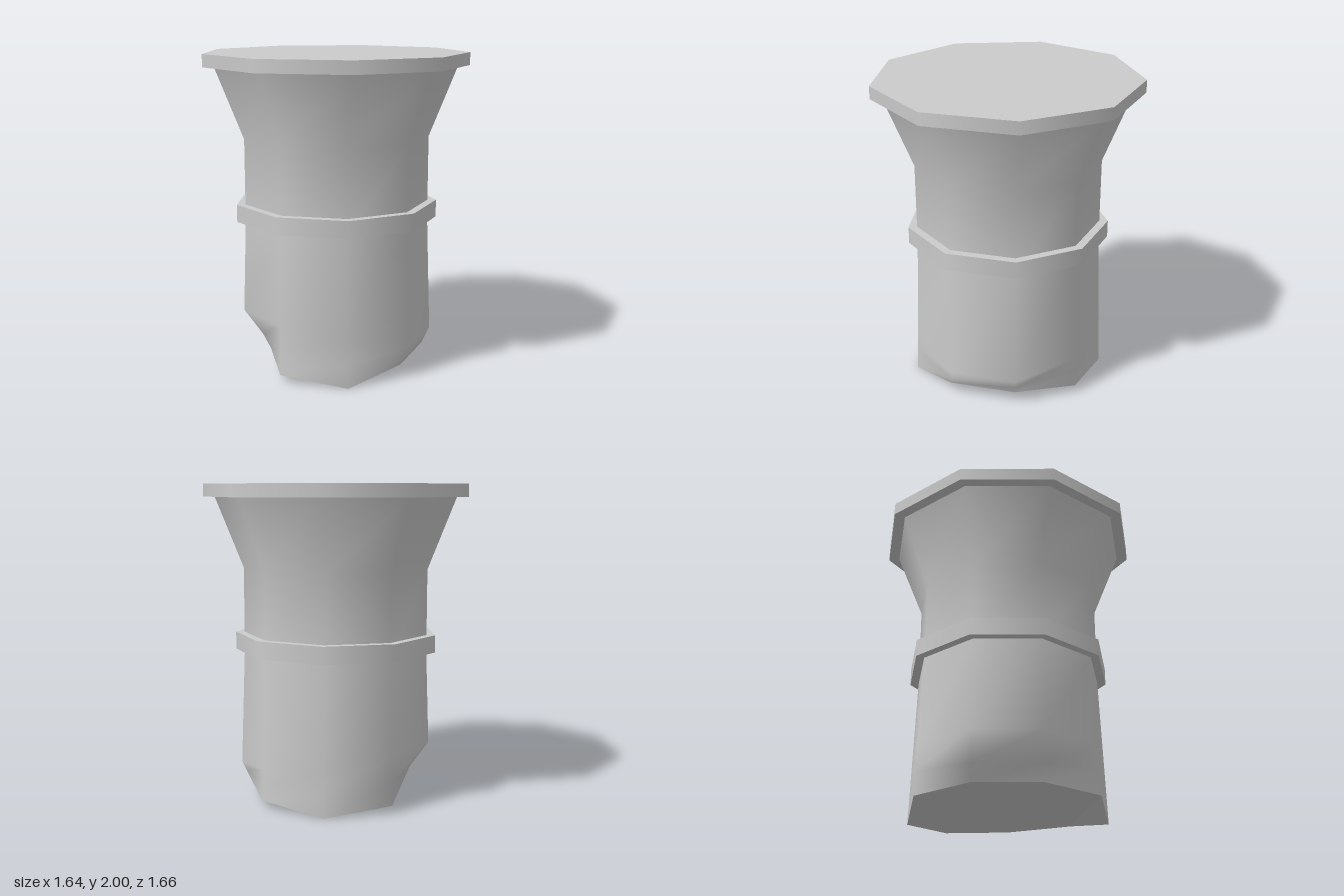
import * as THREE from 'three';

const SIDES = 9;
const CENTRE_X = -0.024;
const material = new THREE.MeshStandardMaterial({ color: 0xcccccc });

// Shaft radius: flares at the head, widens slightly towards the foot
function radiusAt(y) {
  if (y > 1.47) return THREE.MathUtils.mapLinear(y, 1.47, 1.92, 0.595, 0.773);
  if (y > 0.95) return 0.595;
  return THREE.MathUtils.mapLinear(y, 0.95, 0, 0.595, 0.63);
}

function corner(i, y, dx = 0) {
  const a = (i / SIDES) * Math.PI * 2, r = radiusAt(y);
  return new THREE.Vector3(r * Math.cos(a) + dx, y, r * Math.sin(a));
}

// Worn foot, per corner: [chip start y, chip middle y, middle dx, foot y, foot dx]
const FOOT = [
  [0.19, 0.13, -0.03, 0.08, -0.055],
  [0.19, 0.13, -0.02, 0.08, -0.05],
  [0.3, 0.15, 0, 0, 0],
  [0.36, 0.2, 0, 0.05, 0],
  [0.36, 0.2, 0.125, 0.1, 0.18],
  [0.36, 0.2, 0.125, 0.1, 0.18],
  [0.36, 0.2, 0, 0.05, 0],
  [0.3, 0.15, 0, 0, 0],
  [0.25, 0.15, 0, 0.05, 0],
];

function geometryFrom(points, index) {
  const geometry = new THREE.BufferGeometry().setFromPoints(points);
  geometry.setIndex(index);
  geometry.computeVertexNormals();
  return geometry;
}

function shaftGeometry() {
  const rows = [1.92, 1.47, 0.95].map((y) => FOOT.map((_, i) => corner(i, y)));
  rows.push(FOOT.map((f, i) => corner(i, f[0])));
  rows.push(FOOT.map((f, i) => corner(i, f[1], f[2])));
  rows.push(FOOT.map((f, i) => corner(i, f[3], f[4])));
  const index = [];
  for (let r = 0; r < rows.length - 1; r++) {
    for (let i = 0; i < SIDES; i++) {
      const j = (i + 1) % SIDES;
      const a = r * SIDES + i, b = r * SIDES + j;
      const c = a + SIDES, d = b + SIDES;
      index.push(a, b, d, a, d, c);
    }
  }
  return geometryFrom(rows.flat(), index);
}

// Uneven underside, fanned from one corner
function undersideGeometry() {
  const points = FOOT.map((f, i) => corner(i, f[3], f[4]));
  const index = [];
  for (let k = 1; k < SIDES - 1; k++) {
    index.push(1, (1 + k) % SIDES, (2 + k) % SIDES);
  }
  const geometry = geometryFrom(points, index).toNonIndexed();
  geometry.computeVertexNormals();
  return geometry;
}

function disc(radius, bottom, top) {
  const geometry = new THREE.CylinderGeometry(radius, radius, top - bottom, SIDES, 1, false, Math.PI / 2);
  return geometry.translate(0, (top + bottom) / 2, 0);
}

export function createModel() {
  const group = new THREE.Group();
  group.name = 'brokenColumn';
  const add = (name, geometry) => {
    const mesh = new THREE.Mesh(geometry, material);
    mesh.name = name;
    mesh.position.x = CENTRE_X;
    group.add(mesh);
  };
  add('shaft', shaftGeometry());
  add('underside', undersideGeometry());
  add('middleBand', disc(0.65, 0.945, 1.055));
  add('topSlab', disc(0.845, 1.92, 2));
  return group;
}
